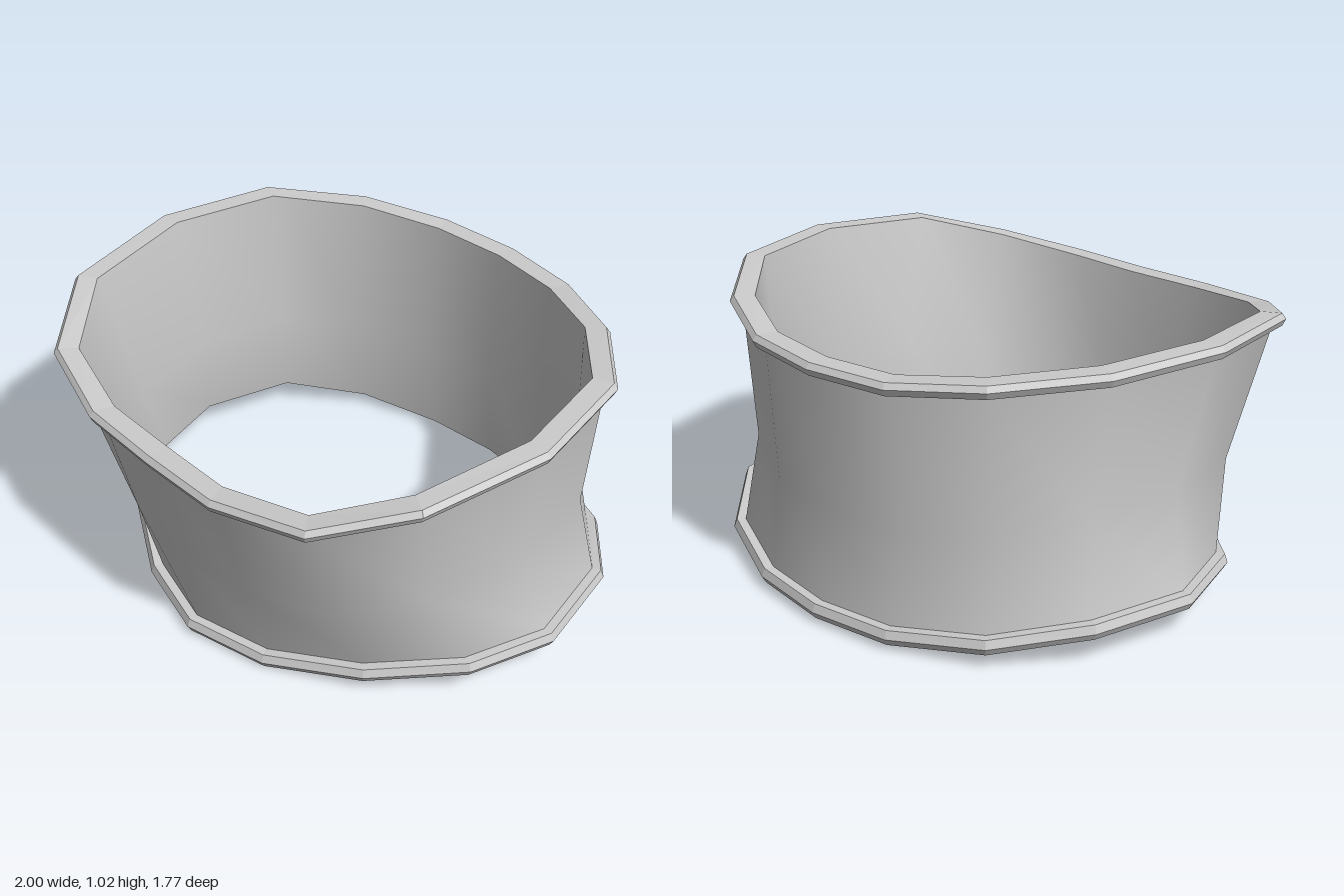
import * as THREE from 'three';

// Each outline lists half a 16-sided loop, from front centre round the +x side to back centre: [x, y, z].
const TOP = [
  [0, 0.87, 0.885], [0.32, 0.875, 0.88], [0.67, 0.91, 0.78], [0.91, 0.99, 0.51], [1, 1.02, 0.04],
  [0.9, 1.02, -0.4], [0.63, 0.985, -0.68], [0.32, 0.955, -0.83], [0, 0.95, -0.87],
];
const WAIST = [
  [0, 0.37, 0.76], [0.3, 0.38, 0.73], [0.6, 0.41, 0.6], [0.8, 0.46, 0.36], [0.875, 0.48, -0.01],
  [0.81, 0.48, -0.38], [0.6, 0.44, -0.61], [0.31, 0.4, -0.755], [0, 0.4, -0.795],
];
const BOTTOM = [
  [0, 0, 0.77], [0.32, 0, 0.69], [0.65, 0.05, 0.51], [0.91, 0.1, 0.25], [1, 0.1, -0.07],
  [0.9, 0.1, -0.45], [0.65, 0.05, -0.71], [0.32, 0.015, -0.85], [0, 0.01, -0.89],
];

// Mirrors a half outline to a full loop, pulled inward by inset and raised by lift.
function ring(half, inset, lift) {
  const full = [...half, ...half.slice(1, -1).reverse().map(([x, y, z]) => [-x, y, z])];
  return full.map(([x, y, z]) => {
    const s = 1 - inset / Math.hypot(x, z);
    return [x * s, y + lift, z * s];
  });
}

// Skins a sequence of loops.
function loft(name, rings, flat) {
  const n = rings[0].length;
  const index = [];
  for (let j = 0; j < rings.length - 1; j++) {
    for (let i = 0; i < n; i++) {
      const k = (i + 1) % n;
      const a = j * n + i, b = a + n, c = (j + 1) * n + k, d = j * n + k;
      index.push(a, b, c, a, c, d);
    }
  }
  const geometry = new THREE.BufferGeometry();
  geometry.setAttribute('position', new THREE.Float32BufferAttribute(rings.flat(2), 3));
  geometry.setIndex(index);
  geometry.computeVertexNormals();
  const material = new THREE.MeshStandardMaterial({
    color: 0xcccccc, flatShading: flat, side: THREE.DoubleSide,
  });
  const mesh = new THREE.Mesh(geometry, material);
  mesh.name = name;
  return mesh;
}

export function createModel() {
  const group = new THREE.Group();
  group.name = 'flaredCuff';

  // Bevelled lip round the upper opening: [inset, lift]
  const upperLip = [[0.09, 0], [0.015, 0], [0, -0.02], [0.012, -0.045], [0.05, -0.045]];
  group.add(loft('upperRim', upperLip.map(([d, h]) => ring(TOP, d, h)), true));

  // Bevelled lip round the lower opening
  const lowerLip = [[0.05, 0.06], [0.012, 0.06], [0, 0.03], [0.015, 0.003], [0.09, 0]];
  group.add(loft('lowerRim', lowerLip.map(([d, h]) => ring(BOTTOM, d, h)), true));

  // Band pinched at the waist, outside and inside
  group.add(loft('outerWall', [ring(TOP, 0.045, -0.045), ring(WAIST, 0, 0), ring(BOTTOM, 0.045, 0.06)], false));
  group.add(loft('innerWall', [ring(BOTTOM, 0.09, 0), ring(WAIST, 0.035, 0), ring(TOP, 0.09, 0)], false));

  return group;
}
